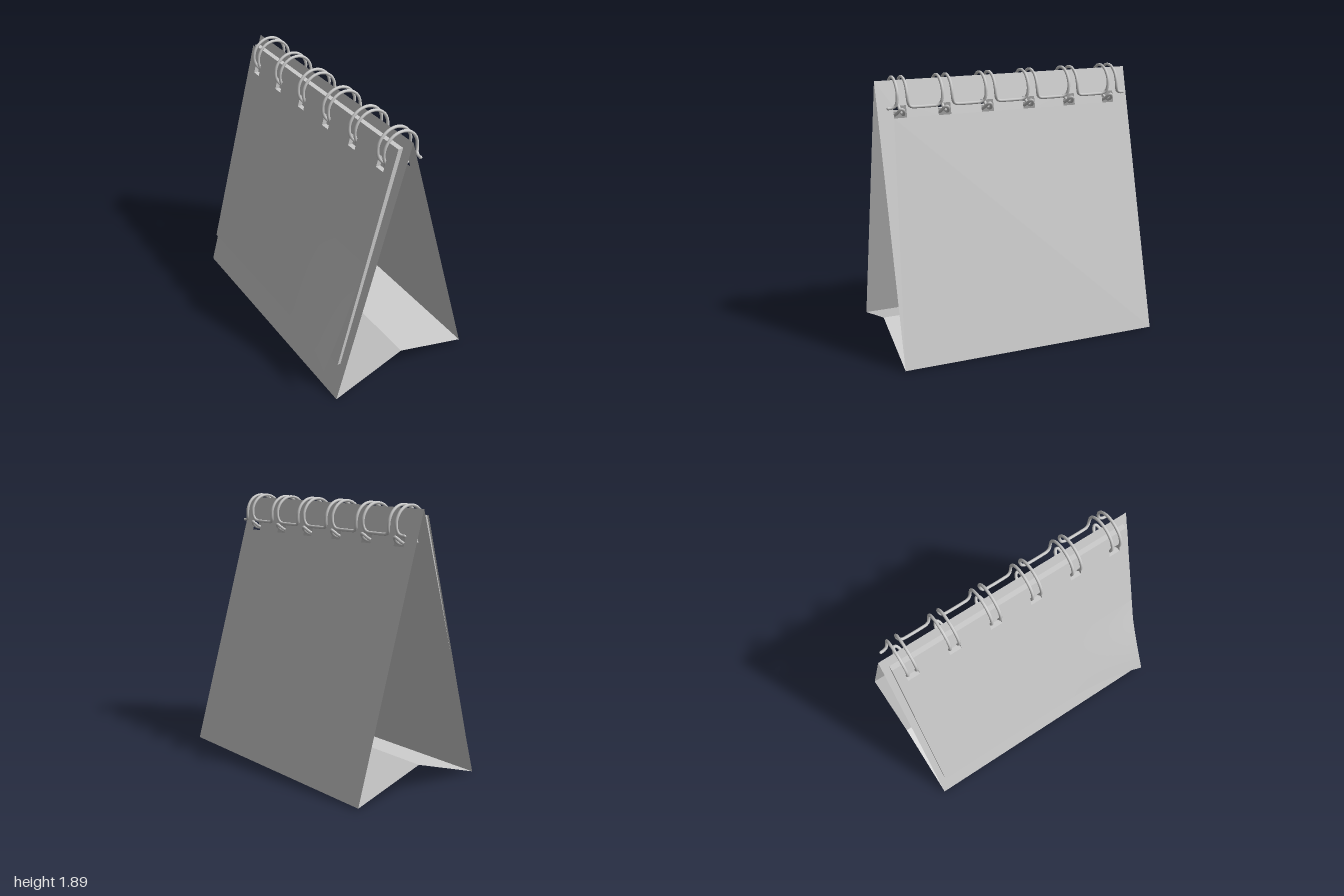
import * as THREE from 'three';

const APEX = 1.865, FOOT = 0.54, HALF = 0.934;   // tent section and half length
const PAGE_TOP = 1.82, PAGE_LOW = 0.26, PAGE_HALF = 0.887;
const RINGS = [-2.5, -1.5, -0.5, 0.5, 1.5, 2.5].map(i => i * 0.312);
const lerp = THREE.MathUtils.lerp;
const clamp01 = t => THREE.MathUtils.clamp(t, 0, 1);

const solid = new THREE.MeshStandardMaterial({ color: 0xcccccc });
const thin = new THREE.MeshStandardMaterial({ color: 0xcccccc, side: THREE.DoubleSide });

function add(parent, name, geometry, material = thin) {
  const mesh = new THREE.Mesh(geometry, material);
  mesh.name = name;
  parent.add(mesh);
}

// Rectangle in (z, y) with a row of binding holes
function punched(half, y0, y1, h0, h1) {
  const rect = (T, a, b, c, d) => {
    const p = new T();
    p.moveTo(a, c); p.lineTo(b, c); p.lineTo(b, d); p.lineTo(a, d); p.closePath();
    return p;
  };
  const shape = rect(THREE.Shape, -half, half, y0, y1);
  for (const z of RINGS) shape.holes.push(rect(THREE.Path, z - 0.045, z + 0.045, h0, h1));
  return shape;
}

// Stands a flat (z, y, depth) geometry up: x comes from the rule
function stand(geometry, rule) {
  const p = geometry.attributes.position;
  for (let i = 0; i < p.count; i++) {
    const z = p.getX(i), y = p.getY(i), d = p.getZ(i);
    p.setXYZ(i, rule(y, z, d), y, z);
  }
  geometry.computeVertexNormals();
  return geometry;
}

// Sheet strung along z between two section points
function strip(x0, y0, x1, y1) {
  const g = new THREE.PlaneGeometry(1, 2 * HALF);
  const p = g.attributes.position;
  for (let i = 0; i < p.count; i++) {
    const t = p.getX(i) + 0.5;
    p.setXYZ(i, lerp(x0, x1, t), lerp(y0, y1, t), p.getY(i));
  }
  g.computeVertexNormals();
  return g;
}

// Twin-loop binding: one wire, looping over the top and back at each ring
function wirePath() {
  const R = 0.127, CY = 1.758, pts = [];
  const at = (deg, z) => {
    const a = THREE.MathUtils.degToRad(deg);
    pts.push(new THREE.Vector3(R * Math.cos(a), CY + R * Math.sin(a), z));
  };
  // [angle, distance from the ring's middle]
  const half = [[-29, 0.1], [-28, 0.07], [-22, 0.048], [-8, 0.037]];
  for (let a = 15; a <= 265; a += 25) half.push([a, 0.033]);
  half.push([285, 0.031], [305, 0.024], [320, 0.012]);
  at(-29, -0.875);
  for (const z of RINGS) {
    for (const [a, d] of half) at(a, z - d);
    at(325, z);
    for (const [a, d] of [...half].reverse()) at(a, z + d);
  }
  at(-29, 0.875);
  return new THREE.CatmullRomCurve3(pts, false, 'centripetal');
}

export function createModel() {
  const model = new THREE.Group();
  model.name = 'deskCalendar';

  // Folded card stand
  const stander = new THREE.Group();
  stander.name = 'stand';
  model.add(stander);
  for (const [name, side, low] of [['leftPanel', 1, 0.01], ['rightPanel', -1, 0]]) {
    const g = new THREE.ShapeGeometry(punched(HALF, low, APEX, 1.62, 1.7));
    add(stander, name, stand(g, y => side * FOOT * (APEX - y) / (APEX - low)));
  }
  add(stander, 'baseFoldRight', strip(-FOOT, 0, 0, 0.175));
  add(stander, 'baseFoldLeft', strip(0, 0.175, FOOT, 0.01));

  // Block of pages hanging on the right panel
  const pages = new THREE.Group();
  pages.name = 'pages';
  model.add(pages);
  const drop = y => (PAGE_TOP - y) / (PAGE_TOP - PAGE_LOW);
  const block = new THREE.ExtrudeGeometry(
    punched(PAGE_HALF, PAGE_LOW + 0.005, PAGE_TOP, 1.635, 1.73),
    { depth: 1, bevelEnabled: false });
  add(pages, 'pageBlock', stand(block, (y, z, d) =>
    lerp(lerp(-0.04, -0.48, drop(y)), lerp(-0.075, -0.502, drop(y)), d)), solid);

  // Top page, its lower front corner curling outwards
  const curl = (y, z) => lerp(-0.09, -0.513, drop(y))
    - 0.1 * clamp01(z / PAGE_HALF) ** 3 * clamp01(2 * drop(y) - 1) ** 1.5;
  const mid = (PAGE_TOP + PAGE_LOW) / 2;
  add(pages, 'topPageUpper',
    stand(new THREE.ShapeGeometry(punched(PAGE_HALF, mid, PAGE_TOP, 1.635, 1.73)), curl));
  const lower = new THREE.PlaneGeometry(2 * PAGE_HALF, mid - PAGE_LOW, 24, 12);
  lower.translate(0, (mid + PAGE_LOW) / 2, 0);
  add(pages, 'topPageCurl', stand(lower, curl));

  // Wire binding with closed ends
  const path = wirePath();
  add(model, 'wireBinding', new THREE.TubeGeometry(path, 1000, 0.0105, 8), solid);
  for (const t of [0, 1]) {
    const cap = new THREE.SphereGeometry(0.0105, 8, 6);
    cap.translate(...path.getPoint(t).toArray());
    add(model, 'wireEnd', cap, solid);
  }

  // The calendar stands slightly turned
  model.rotation.y = 0.134;
  const root = new THREE.Group();
  root.name = 'calendar';
  root.add(model);
  return root;
}
